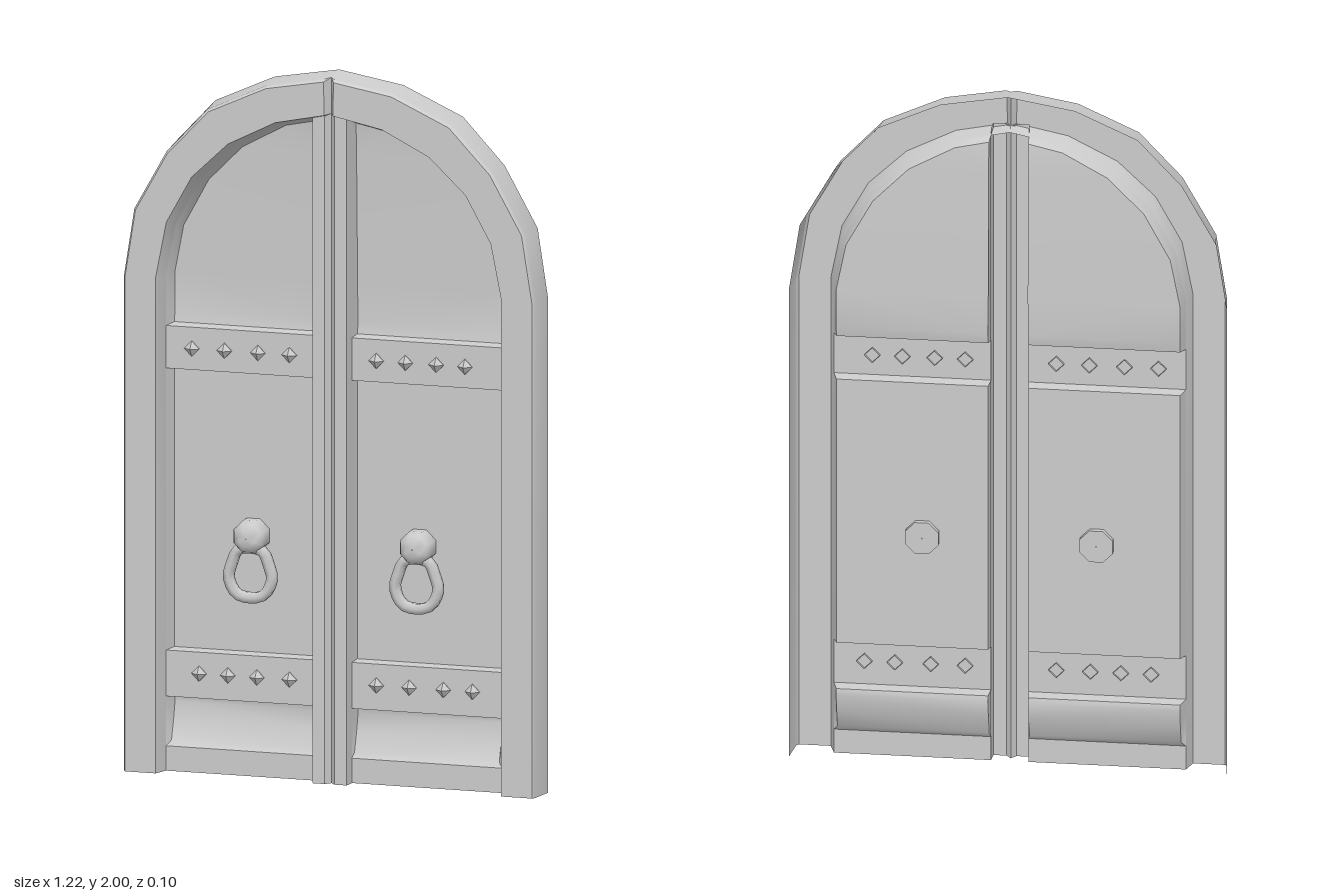
import * as THREE from 'three';
import { toCreasedNormals } from 'three/addons/utils/BufferGeometryUtils.js';

const FRONT = 0.047, BACK = -0.045, LEVEL = 0.0, PANEL = -0.036;

const material = new THREE.MeshStandardMaterial({ color: 0xcccccc, side: THREE.DoubleSide });

// Surface through rows of points (rows run upwards, points run towards +x)
function loft(rows) {
  const n = rows[0].length, index = [];
  for (let r = 0; r < rows.length - 1; r++) {
    for (let c = 0; c < n - 1; c++) {
      const a = r * n + c, b = a + 1, d = a + n, e = d + 1;
      index.push(a, b, e, a, e, d);
    }
  }
  const g = new THREE.BufferGeometry();
  g.setAttribute('position', new THREE.Float32BufferAttribute(rows.flat(2), 3));
  g.setIndex(index);
  return toCreasedNormals(g, 0.5);
}

function add(parent, name, geometry, x = 0, y = 0, z = 0) {
  const m = new THREE.Mesh(geometry, material);
  m.name = name;
  m.position.set(x, y, z);
  parent.add(m);
  return m;
}

const mix = (a, b, t) => a.map((v, i) => v + (b[i] - v) * t);

// Stations of the half arch: outer edge, inner front edge, inner edge at panel depth
const stations = [
  [[0.61, 0], [0.505, 0], [0.479, 0]],
  [[0.61, 1.397], [0.505, 1.4], [0.479, 1.4]],
  [[0.58, 1.59], [0.474, 1.556], [0.452, 1.534]],
  [[0.484, 1.76], [0.4, 1.688], [0.378, 1.667]],
  [[0.362, 1.89], [0.294, 1.788], [0.278, 1.767]],
  [[0.188, 1.968], [0.156, 1.857], [0.15, 1.836]],
  [[0, 2], [0, 1.889], [0, 1.868]],
];
const between = (a, b, t) => a.map((p, i) => mix(p, b[i], t));
const rebate = ([, inner, deep]) => mix(inner, deep, 0.55);

// Arched frame: open-backed section with a bevelled outer edge and a notch at the crown
function frameGeometry() {
  const section = (s, top = FRONT) => [
    [...rebate(s), LEVEL],
    [...s[1], top],
    [...mix(s[0], s[1], 0.15), top],
    [...mix(s[0], s[1], 0.09), Math.min(top, FRONT - 0.009)],
    [...s[0], BACK],
  ];
  const rows = stations.slice(0, 6).map((s) => section(s));
  rows.push(section(between(stations[5], stations[6], 0.92)));
  rows.push(section(stations[6], 0.022));
  return loft(rows);
}

// Door leaf: rails and sunk panels as one pressed sheet
function leafGeometry() {
  const profile = [
    [0, LEVEL], [0.07, LEVEL], [0.085, -0.012], [0.14, -0.03], [0.19, -0.042], [0.207, -0.038],
    [0.21, LEVEL], [0.34, LEVEL], [0.344, PANEL], [1.131, PANEL], [1.135, LEVEL],
    [1.255, LEVEL], [1.26, -0.036], [1.29, -0.042],
  ];
  const edge = rebate(stations[0])[0];
  const rows = profile.map(([y, z]) => [
    [0.052, y, LEVEL],
    [z === LEVEL ? 0.052 : 0.056, y, z],
    [z === LEVEL ? edge : 0.479, y, z],
    [edge, y, LEVEL],
  ]);
  const arch = [...stations.slice(1, 6), between(stations[5], stations[6], 0.63)];
  arch.forEach((s, i) => {
    const y = s[2][1], z = -0.041 + i * 0.003;
    rows.push([[0.052, y, LEVEL], [0.055, y, z], [...s[2], z], [...rebate(s), LEVEL]]);
  });
  const top = rebate(arch[5]);
  rows.push([[0.052, top[1], LEVEL], [0.053, top[1], LEVEL], [...top, LEVEL], [...top, LEVEL]]);
  return loft(rows);
}

// Half of the centre post, with its side of the V groove
function postGeometry() {
  const section = [[0, 0.02], [0.014, 0.038], [0.05, 0.038], [0.053, LEVEL]];
  return loft([0, 1.888].map((y) => section.map(([x, z]) => [x, y, z])));
}

// Turned shape with its axis along z, from [radius, z] points
function turned(points, sides) {
  const g = new THREE.LatheGeometry(points.map(([r, z]) => new THREE.Vector2(r, z)), sides);
  g.rotateX(Math.PI / 2);
  return g;
}

// Teardrop pull ring hanging below the knob
function ringGeometry() {
  const half = [[0.036, -0.165], [0.063, -0.118], [0.054, -0.078], [0.034, -0.038]];
  const pts = [...half, ...half.map(([x, y]) => [-x, y]).reverse()]
    .map(([x, y]) => new THREE.Vector3(x, y, 0));
  return new THREE.TubeGeometry(new THREE.CatmullRomCurve3(pts, true), 24, 0.017, 6, true);
}

export function createModel() {
  const model = new THREE.Group();
  model.name = 'archedDoubleDoor';

  const frame = frameGeometry(), leaf = leafGeometry(), post = postGeometry();
  for (const side of [1, -1]) {
    const half = new THREE.Group();
    half.name = side > 0 ? 'leftDoor' : 'rightDoor';
    half.scale.x = side;
    add(half, 'archFrame', frame);
    add(half, 'doorLeaf', leaf);
    add(half, 'centrePost', post);
    model.add(half);
  }

  // Diamond studs on the rails
  const stud = toCreasedNormals(turned([[0.022, -0.008], [0.022, 0.003], [0.001, 0.018]], 4), 0.3);
  const studRows = [
    [1.195, [-0.415, -0.32, -0.222, -0.13, 0.124, 0.209, 0.299, 0.383]],
    [0.28, [-0.394, -0.31, -0.225, -0.13, 0.124, 0.22, 0.32, 0.405]],
  ];
  for (const [y, xs] of studRows) for (const x of xs) add(model, 'stud', stud, x, y, LEVEL);

  // Knobs with pull rings
  const knob = turned([[0.001, -0.053], [0.05, -0.053], [0.05, 0.0], [0.042, 0.018], [0.024, 0.029], [0.001, 0.032]], 8);
  knob.rotateZ(Math.PI / 8);
  const knobShape = toCreasedNormals(knob, 0.9), ring = ringGeometry();
  for (const x of [-0.247, 0.239]) {
    add(model, 'knob', knobShape, x, 0.674, 0);
    add(model, 'pullRing', ring, x, 0.674, -0.008);
  }
  return model;
}
